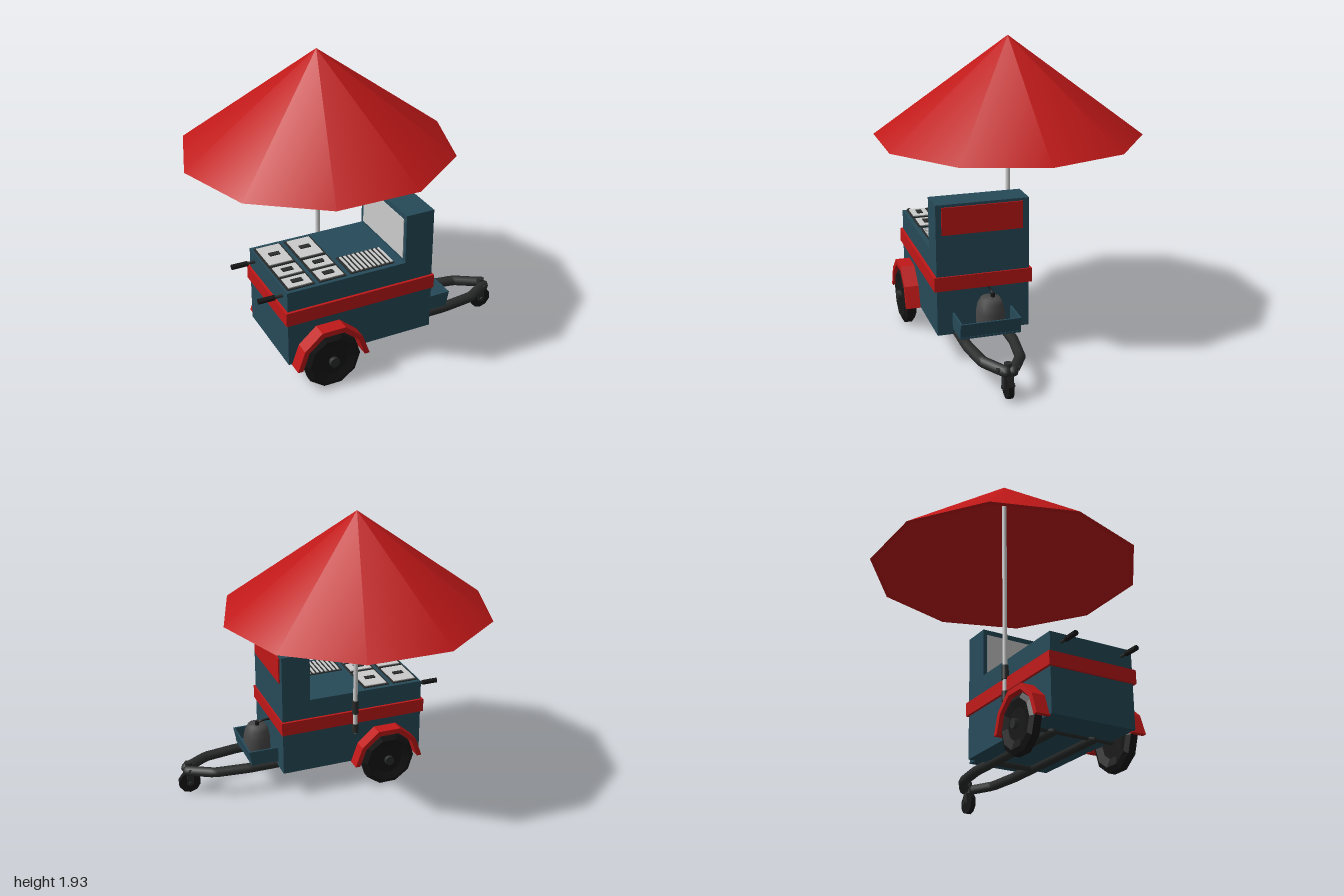
import * as THREE from 'three';

const mat = (color, extra = {}) => new THREE.MeshStandardMaterial({ color, ...extra });
const teal = mat(0x264a59), red = mat(0xc01818), black = mat(0x161616), iron = mat(0x2a2c2c);
const tankGrey = mat(0x484848), grey = mat(0xcccccc);
const redCloth = mat(0xc01818, { side: THREE.DoubleSide });
const flatBlack = mat(0x161616, { flatShading: true });

const CZ = 0.315; // centre line of the cart

export function createModel() {
  const root = new THREE.Group();
  root.name = 'foodCart';

  const add = (name, geo, material, x = 0, y = 0, z = 0) => {
    const m = new THREE.Mesh(geo, material);
    m.name = name;
    m.position.set(x, y, z);
    root.add(m);
    return m;
  };
  // box given by its limits on each axis
  const box = (name, material, x0, x1, y0, y1, z0, z1) =>
    add(name, new THREE.BoxGeometry(x1 - x0, y1 - y0, z1 - z0), material,
      (x0 + x1) / 2, (y0 + y1) / 2, (z0 + z1) / 2);
  // cylinder lying along x, y or z
  const rod = (name, material, axis, r, len, x, y, z, sides = 10) => {
    const g = new THREE.CylinderGeometry(r, r, len, sides);
    if (axis === 'x') g.rotateZ(Math.PI / 2);
    if (axis === 'z') g.rotateX(Math.PI / 2);
    return add(name, g, material, x, y, z);
  };
  // outline in the xy plane, extruded from z0 to z1
  const prism = (name, material, pts, z0, z1) => {
    const shape = new THREE.Shape(pts.map(p => new THREE.Vector2(...p)));
    const g = new THREE.ExtrudeGeometry(shape, { depth: z1 - z0, bevelEnabled: false });
    return add(name, g, material, 0, 0, z0);
  };

  // body with the raised end cabinet
  prism('body', teal, [[-0.62, 0.18], [0.36, 0.18], [0.36, 1.015], [0.17, 1.015],
    [0.17, 0.69], [-0.62, 0.69]], 0.02, 0.605);
  box('trimBand', red, -0.635, 0.37, 0.47, 0.56, 0.003, 0.622);
  box('signPanel', red, 0.35, 0.369, 0.825, 0.998, 0.06, 0.57);
  box('backsplash', grey, 0.166, 0.18, 0.71, 0.98, 0.05, 0.575);

  // lidded food wells: one long and two short in each column
  for (const x of [-0.517, -0.31]) {
    for (const [z0, z1] of [[0.06, 0.285], [0.315, 0.43], [0.455, 0.57]]) {
      const zc = (z0 + z1) / 2;
      box('wellFrame', iron, x - 0.09, x + 0.09, 0.685, 0.696, z0 - 0.01, z1 + 0.01);
      box('wellLid', grey, x - 0.077, x + 0.077, 0.69, 0.702, z0 + 0.003, z1 - 0.003);
      box('lidHandle', iron, x - 0.035, x + 0.035, 0.7, 0.708, zc - 0.018, zc + 0.018);
    }
  }

  // grill with bars
  box('grillBed', iron, -0.19, 0.11, 0.685, 0.695, 0.37, 0.575);
  for (let i = 0; i < 10; i++) {
    const x = -0.173 + i * 0.0295;
    box('grillBar', grey, x, x + 0.014, 0.69, 0.701, 0.38, 0.565);
  }

  // push handles
  for (const z of [0.1, 0.53]) {
    rod('handleStem', iron, 'x', 0.01, 0.12, -0.65, 0.635, z, 8);
    rod('handleGrip', black, 'x', 0.017, 0.105, -0.722, 0.635, z, 8);
  }

  // wheels, hubs and fenders on both sides
  const outer = [[-0.6, 0.175], [-0.552, 0.31], [-0.437, 0.41], [-0.28, 0.41], [-0.165, 0.31], [-0.117, 0.175]];
  const inner = [[-0.15, 0.175], [-0.192, 0.292], [-0.292, 0.376], [-0.425, 0.376], [-0.525, 0.292], [-0.567, 0.175]];
  for (const s of [1, -1]) {
    const z = CZ + s * 0.337;
    const tyre = new THREE.LatheGeometry([[0, -0.03], [0.1, -0.03], [0.155, -0.042], [0.187, -0.025],
      [0.187, 0.025], [0.155, 0.042], [0.1, 0.03], [0, 0.03]].map(p => new THREE.Vector2(...p)), 10, Math.PI / 10);
    tyre.rotateX(Math.PI / 2);
    add('wheel', tyre, flatBlack, -0.36, 0.182, z);
    rod('hub', iron, 'z', 0.032, 0.025, -0.36, 0.182, CZ + s * 0.385);
    const zs = [CZ + s * 0.285, CZ + s * 0.383].sort((a, b) => a - b);
    prism('fender', red, [...outer, ...inner], ...zs);
  }
  rod('axle', iron, 'z', 0.018, 0.79, -0.36, 0.182, CZ, 8);

  // drawbar rails that bend in to meet above the jockey wheel
  const rail = s => {
    const path = new THREE.CurvePath();
    const pts = [[-0.37, 0.176, 0.145], [0.55, 0.178, 0.145], [0.78, 0.175, 0.115], [0.94, 0.172, 0.022]]
      .map(([x, y, dz]) => new THREE.Vector3(x, y, 0.325 + s * dz));
    for (let i = 0; i < 3; i++) path.add(new THREE.LineCurve3(pts[i], pts[i + 1]));
    add('drawbarRail', new THREE.TubeGeometry(path, 40, 0.034, 8), iron);
    for (const p of [pts[0], pts[3]])
      add('railEnd', new THREE.SphereGeometry(0.033, 8, 6), iron, p.x, p.y, p.z);
  };
  rail(1);
  rail(-1);
  rod('crossBar', iron, 'z', 0.022, 0.3, 0.3, 0.17, 0.325, 8);

  // jockey wheel with fork
  const small = new THREE.CylinderGeometry(0.074, 0.074, 0.034, 10);
  small.rotateX(Math.PI / 2);
  add('jockeyWheel', small, flatBlack, 0.925, 0.073, 0.33);
  for (const s of [1, -1])
    box('forkArm', iron, 0.902, 0.945, 0.06, 0.18, 0.33 + s * 0.025 - 0.005, 0.33 + s * 0.025 + 0.005);
  rod('jockeyAxle', iron, 'z', 0.013, 0.08, 0.925, 0.073, 0.33, 8);
  rod('jockeyPost', iron, 'y', 0.024, 0.08, 0.925, 0.18, 0.33, 8);
  rod('hitchBolt', iron, 'z', 0.016, 0.135, 0.925, 0.18, 0.33, 8);

  // open tank tray with a slanted outer wall
  box('trayFloor', teal, 0.35, 0.545, 0.22, 0.232, 0.13, 0.51);
  const side = [[0.35, 0.22], [0.54, 0.22], [0.56, 0.32], [0.35, 0.32]];
  prism('traySide', teal, side, 0.13, 0.142);
  prism('traySide', teal, side, 0.498, 0.51);
  prism('trayLip', teal, [[0.528, 0.22], [0.54, 0.22], [0.56, 0.32], [0.548, 0.32]], 0.13, 0.51);

  // gas tank with valve and hose
  const tank = [[0, 0.23], [0.075, 0.23], [0.089, 0.25], [0.089, 0.345], [0.078, 0.4], [0.058, 0.435], [0, 0.437]];
  add('gasTank', new THREE.LatheGeometry(tank.map(p => new THREE.Vector2(...p)), 16), tankGrey, 0.455, 0, 0.297);
  rod('tankValve', black, 'y', 0.014, 0.03, 0.455, 0.445, 0.28, 8);
  const hose = new THREE.CatmullRomCurve3([[0.455, 0.44, 0.28], [0.44, 0.457, 0.28], [0.4, 0.465, 0.28], [0.35, 0.465, 0.28]]
    .map(p => new THREE.Vector3(...p)));
  add('gasHose', new THREE.TubeGeometry(hose, 12, 0.007, 6), black);

  // parasol pole with clamps on the back
  const PX = -0.138;
  rod('parasolPole', grey, 'y', 0.015, 1.49, PX, 1.145, 0, 12);
  rod('poleClamp', iron, 'y', 0.022, 0.095, PX, 0.593, 0, 10);
  rod('poleClamp', iron, 'y', 0.022, 0.065, PX, 0.437, 0, 10);
  for (const y of [0.593, 0.437]) box('clampBracket', iron, PX - 0.012, PX + 0.012, y - 0.02, y + 0.02, 0, 0.03);

  // ten-sided canopy: outer cloth, rim and lining
  const cone = (name, pts) => add(name,
    new THREE.LatheGeometry(pts.map(p => new THREE.Vector2(...p)), 10, Math.PI / 2), redCloth, PX, 0, 0);
  cone('canopy', [[0.865, 1.292], [0, 1.93]]);
  cone('canopyRim', [[0.835, 1.29], [0.865, 1.292]]);
  cone('canopyLining', [[0, 1.9], [0.835, 1.29]]);

  return root;
}
